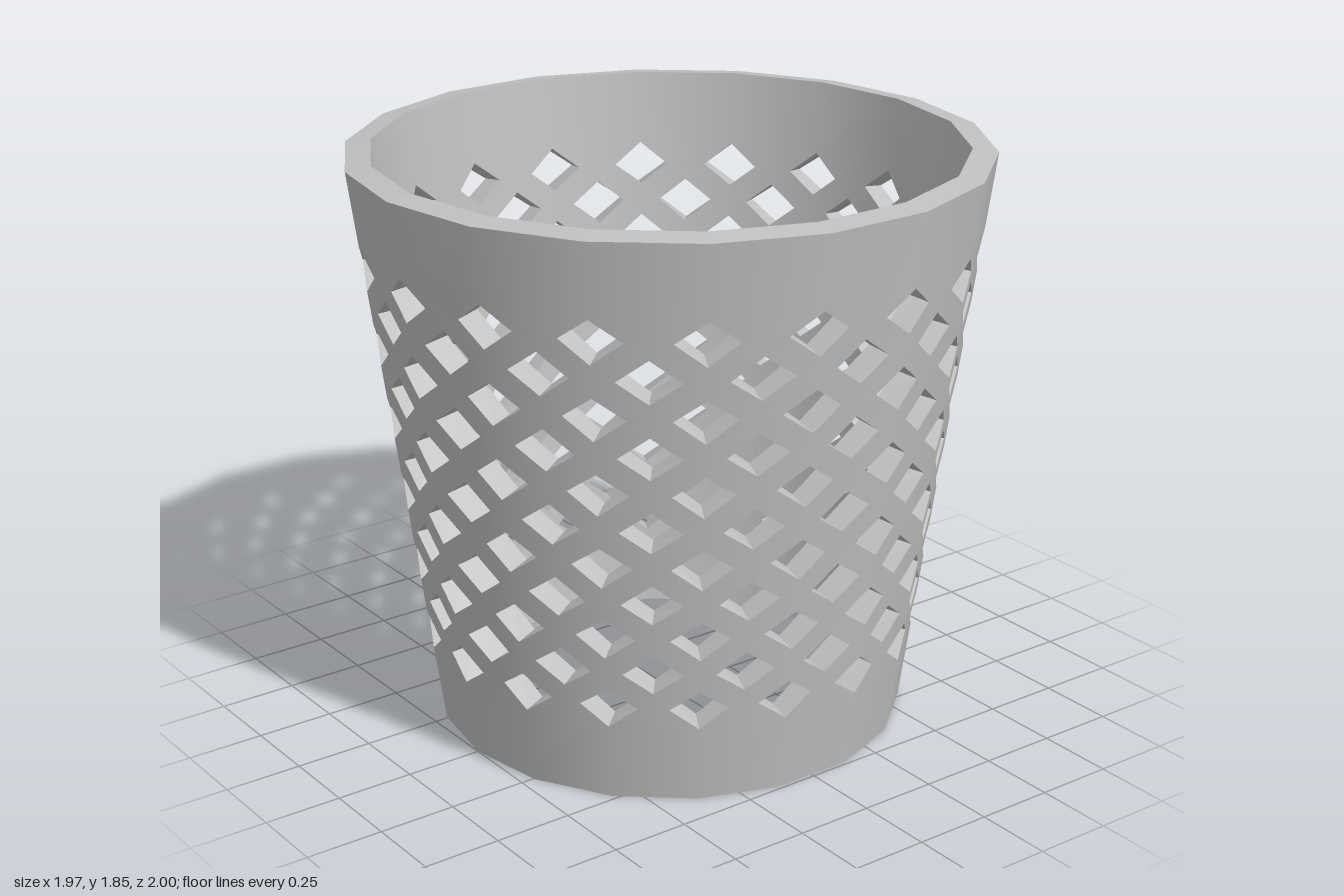
import * as THREE from 'three';
import { mergeGeometries } from 'three/addons/utils/BufferGeometryUtils.js';

const SIDES = 18;
const HALF = Math.PI / SIDES;          // half the angle of one facet
const HEIGHT = 1.84, WALL = 0.08, LIFT = 0.011;
const R_BOTTOM = 0.75, R_TOP = 1.0;
const SLOPE = (R_TOP - R_BOTTOM) / HEIGHT;
const ROWS = 11, FIRST_ROW = 0.32, ROW_STEP = 0.1215;

const radiusAt = (y) => R_BOTTOM + SLOPE * y;

// Diamond size for a row; u runs from -1 to 1 across a facet
function diamond(row) {
  const y = FIRST_ROW + row * ROW_STEP;
  const t = row / (ROWS - 1);
  const halfWidth = 0.091 + 0.006 * t;
  return { y, du: halfWidth / (radiusAt(y) * Math.sin(HALF)), dv: 0.065 + 0.005 * t };
}

// One facet: half diamonds notched into both edges, whole diamonds down the middle
function facetShape() {
  const right = [[1, 0]];
  const holes = [];
  for (let row = 0; row < ROWS; row++) {
    const { y, du, dv } = diamond(row);
    if (row % 2 === 0) {
      right.push([1, y - dv], [1 - du, y], [1, y + dv]);
    } else {
      holes.push([[0, y - dv], [-du, y], [0, y + dv], [du, y]]);
    }
  }
  right.push([1, HEIGHT]);
  const left = right.map(([u, y]) => [-u, y]).reverse();
  const toPoints = (list) => list.map(([u, y]) => new THREE.Vector2(u, y));
  const shape = new THREE.Shape(toPoints([...right, ...left]));
  shape.holes = holes.map((h) => new THREE.Path(toPoints(h)));
  return shape;
}

// Bend the flat extruded facet into its place on the tapered wall
function bendFacet(flat, index) {
  const angle = (2 * index + 1) * HALF;
  const sin = Math.sin(angle), cos = Math.cos(angle);
  const src = flat.attributes.position;
  const positions = [], normals = [];
  const place = ({ x: u, y, z }) => {
    const depth = 1 - z;               // 0 outside, 1 inside
    const r = radiusAt(y) - WALL * depth;
    const out = r * Math.cos(HALF), side = u * r * Math.sin(HALF);
    return new THREE.Vector3(out * sin + side * cos, y + LIFT * depth, out * cos - side * sin);
  };
  for (let i = 0; i < src.count; i += 3) {
    const raw = [0, 1, 2].map((k) => new THREE.Vector3().fromBufferAttribute(src, i + k));
    // Skip the hidden seams between neighbouring facets
    if (raw.every((p) => p.x > 0.9999) || raw.every((p) => p.x < -0.9999)) continue;
    const tri = raw.map(place);
    const flatNormal = new THREE.Triangle(...tri).getNormal(new THREE.Vector3());
    const isOuter = raw.every((p) => p.z > 0.5);
    const isInner = raw.every((p) => p.z < 0.5);
    for (const p of tri) {
      let n = flatNormal;
      // Smooth round the wall, sharp at the cut edges
      if (isOuter || isInner) {
        const r = Math.hypot(p.x, p.z);
        n = new THREE.Vector3(p.x / r, -SLOPE, p.z / r).normalize();
        if (isInner) n.negate();
      }
      positions.push(p.x, p.y, p.z);
      normals.push(n.x, n.y, n.z);
    }
  }
  const g = new THREE.BufferGeometry();
  g.setAttribute('position', new THREE.Float32BufferAttribute(positions, 3));
  g.setAttribute('normal', new THREE.Float32BufferAttribute(normals, 3));
  return g;
}

export function createModel() {
  const group = new THREE.Group();
  group.name = 'wasteBasket';

  const greyPlastic = new THREE.MeshStandardMaterial({ color: 0xc0c0c0 });
  greyPlastic.name = 'greyPlastic';

  // Open lattice wall made of equal facets
  let flat = new THREE.ExtrudeGeometry(facetShape(), { depth: 1, bevelEnabled: false });
  if (flat.index) flat = flat.toNonIndexed();
  const facets = [];
  for (let i = 0; i < SIDES; i++) facets.push(bendFacet(flat, i));

  const wall = new THREE.Mesh(mergeGeometries(facets), greyPlastic);
  wall.name = 'latticeWall';
  group.add(wall);
  return group;
}
